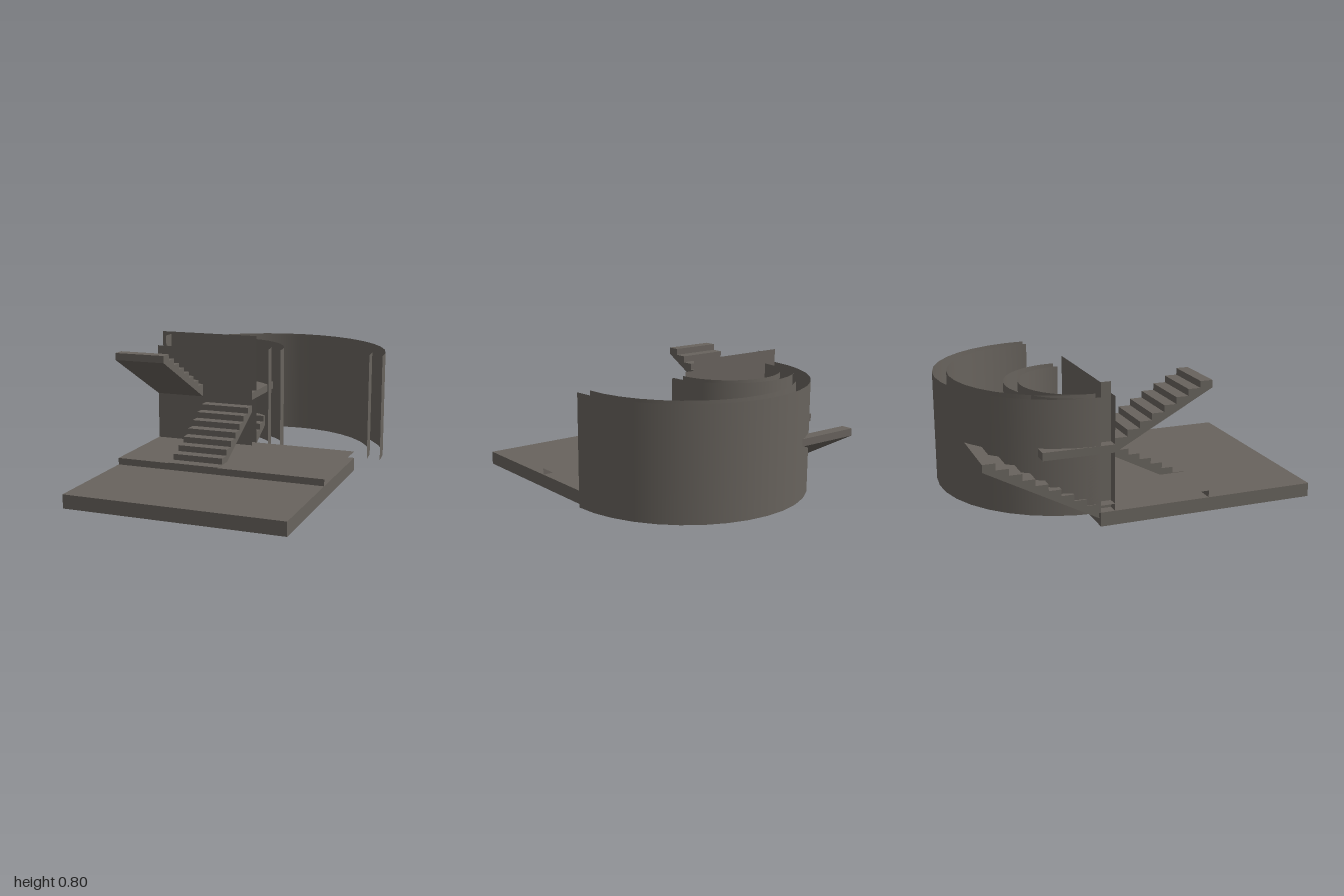
import * as THREE from 'three';

export function createModel() {
  const model = new THREE.Group();
  model.name = 'curvedStairHall';
  const stone = new THREE.MeshStandardMaterial({ color: 0x68635d, side: THREE.DoubleSide });
  stone.name = 'warmGreyStone';

  const add = (name, geometry, x = 0, y = 0, z = 0) => {
    const mesh = new THREE.Mesh(geometry, stone);
    mesh.name = name;
    mesh.position.set(x, y, z);
    model.add(mesh);
    return mesh;
  };

  // Solid block given by its limits on each axis
  const block = (name, x0, x1, y0, y1, z0, z1) =>
    add(name, new THREE.BoxGeometry(x1 - x0, y1 - y0, z1 - z0),
      (x0 + x1) / 2, (y0 + y1) / 2, (z0 + z1) / 2);

  // Thin upright sheet facing the front
  const sheet = (name, x0, x1, y0, y1, z) =>
    add(name, new THREE.PlaneGeometry(x1 - x0, y1 - y0), (x0 + x1) / 2, (y0 + y1) / 2, z);

  // Half-round open wall made of an outer and an inner skin
  const curvedWall = (name, x, radii) => radii.forEach((r, i) =>
    add(name + (i ? 'Inner' : 'Outer'),
      new THREE.CylinderGeometry(r, r, 0.64, 18, 1, true, Math.PI / 2, Math.PI), x, 0.4, -0.28));

  // Flight with sawtooth top and sloping underside; dir is the z direction of the climb
  const flight = (name, x0, x1, z, dir, firstTop, rise, count, floor) => {
    const tread = 0.07, drop = 0.08;
    const run = count * tread;
    const under = (d) => firstTop - drop + (d / tread) * rise;
    const shape = new THREE.Shape();
    const flat = Math.max(0, ((floor - firstTop + drop) / rise) * tread);
    shape.moveTo(0, Math.max(floor, under(0)));
    for (let i = 0; i < count; i++) {
      shape.lineTo(i * tread, firstTop + i * rise);
      shape.lineTo((i + 1) * tread, firstTop + i * rise);
    }
    shape.lineTo(run, under(run));
    if (flat > 0) shape.lineTo(flat, floor);
    shape.closePath();
    const geometry = new THREE.ExtrudeGeometry(shape, { depth: x1 - x0, bevelEnabled: false });
    // Profile runs along +x; turn it to climb along z
    geometry.rotateY(dir < 0 ? Math.PI / 2 : -Math.PI / 2);
    add(name, geometry, dir < 0 ? x0 : x1, 0, z);
  };

  // Ground slab and the raised floor skin with its riser
  block('groundSlab', -0.72, 0.56, 0, 0.08, -0.28, 1);
  add('raisedFloor', new THREE.PlaneGeometry(1.28, 0.64).rotateX(-Math.PI / 2), -0.08, 0.12, 0.04);
  sheet('floorRiser', -0.72, 0.56, 0.08, 0.12, 0.36);

  // Large and small half-round walls
  curvedWall('hallWall', 0, [0.72, 0.64]);
  curvedWall('stairWall', -0.32, [0.4, 0.32]);

  // Two-skinned straight wall with an end face
  sheet('frontWallSkin', -0.72, -0.08, 0.08, 0.72, -0.2);
  sheet('backWallSkin', -0.72, -0.08, 0.08, 0.8, -0.28);
  add('wallEnd', new THREE.PlaneGeometry(0.08, 0.705).rotateY(Math.PI / 2), -0.66, 0.4325, -0.24);

  // Landing and the three flights
  block('landing', -0.72, -0.08, 0.41, 0.455, -0.6, -0.2);
  flight('lowerFlight', -0.39, -0.08, 0.36, -1, 0.123, 0.036, 8, 0.08);
  flight('upperFlight', -0.72, -0.41, -0.2, 1, 0.49, 0.0378, 8, 0);
  flight('backFlight', -0.72, -0.11, -0.29, -1, 0.13, 0.0375, 9, 0);

  return model;
}
